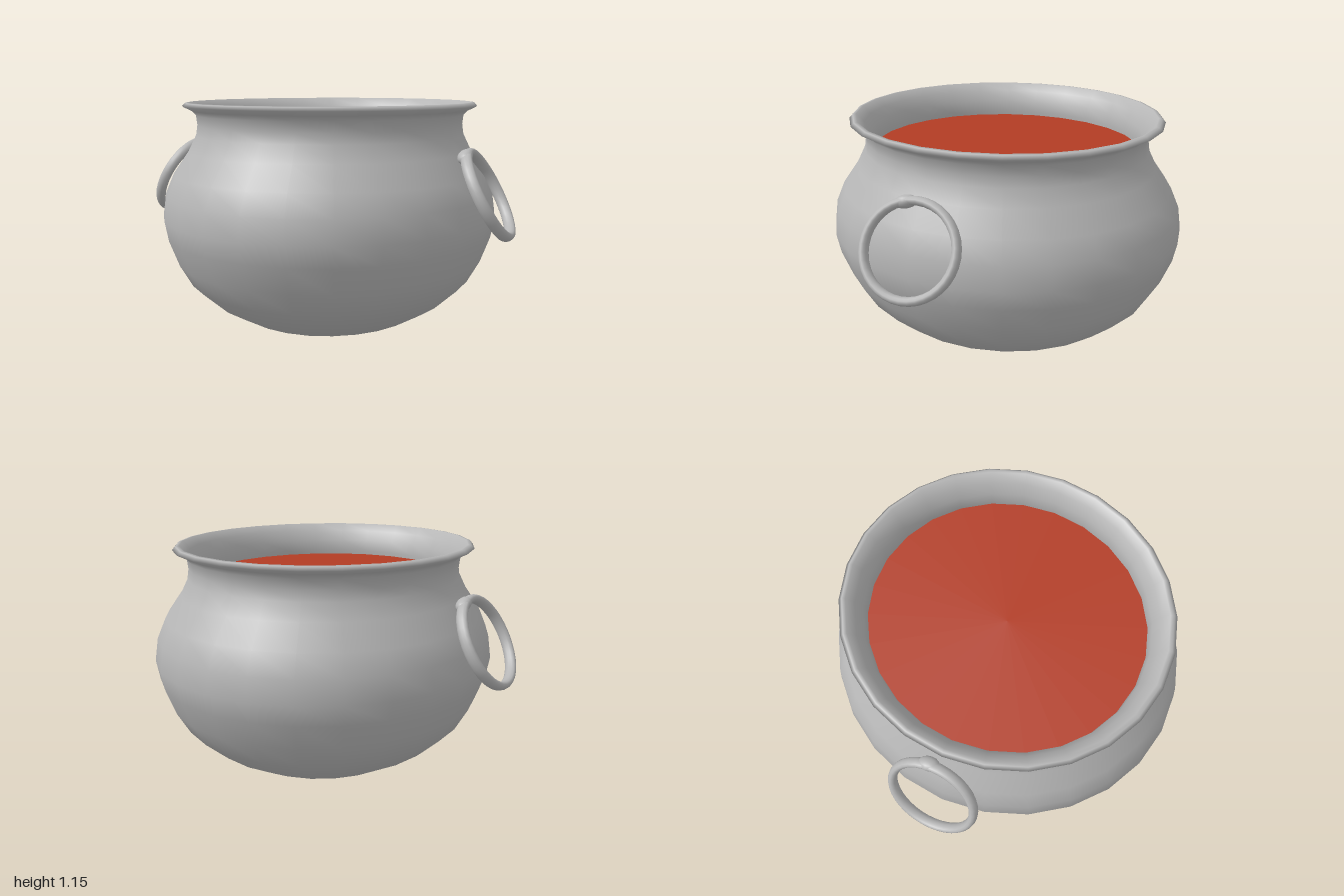
import * as THREE from 'three';

const SEGMENTS = 26;
const SQUASH = 0.94; // the pot is slightly narrower in x than in z

export function createModel() {
  const iron = new THREE.MeshStandardMaterial({ color: 0xb6b6b6 });
  iron.name = 'grey iron';
  const soup = new THREE.MeshStandardMaterial({ color: 0xb23c24 });
  soup.name = 'red liquid';

  const model = new THREE.Group();
  model.name = 'cauldron';

  function add(parent, name, geometry, material) {
    const mesh = new THREE.Mesh(geometry, material);
    mesh.name = name;
    parent.add(mesh);
    return mesh;
  }

  // Pot: belly, neck, flared rim and inner wall in one profile
  const pot = new THREE.Group();
  pot.name = 'pot';
  pot.position.x = 0.006;
  pot.scale.x = SQUASH;
  model.add(pot);
  const profile = [
    [0.35, 0], [0.5, 0.055], [0.65, 0.14], [0.775, 0.25], [0.84, 0.36],
    [0.89, 0.49], [0.908, 0.585], [0.89, 0.7], [0.845, 0.8], [0.765, 0.91],
    [0.724, 0.99], [0.716, 1.04], [0.722, 1.09], [0.745, 1.113], [0.792, 1.135],
    [0.775, 1.152], [0.757, 1.154], [0.72, 1.115], [0.69, 1.06], [0.68, 1.0], [0.69, 0.94],
  ].map(([r, y]) => new THREE.Vector2(r, y));
  add(pot, 'body', new THREE.LatheGeometry(profile, SEGMENTS), iron);

  // Flat underside
  const base = new THREE.CircleGeometry(0.35, SEGMENTS);
  base.rotateZ(Math.PI / 2).rotateX(Math.PI / 2);
  add(pot, 'base', base, iron);

  // Liquid surface inside the neck
  const surface = new THREE.CircleGeometry(0.685, SEGMENTS);
  surface.rotateZ(Math.PI / 2).rotateX(-Math.PI / 2);
  add(pot, 'liquid', surface, soup).position.y = 0.98;

  // Tilted ring handles, the right one turned half around
  for (const [side, name, yaw] of [[1, 'leftHandle', 0.07], [-1, 'rightHandle', 0.04]]) {
    const handle = new THREE.Group();
    handle.name = name;
    handle.position.set(side * 0.863, 0.735, 0.083);
    handle.rotation.y = (side > 0 ? 0 : Math.PI) + yaw;
    model.add(handle);

    const tilt = new THREE.Group();
    tilt.name = name + 'Tilt';
    tilt.rotation.z = 0.49;
    handle.add(tilt);

    const ring = new THREE.TorusGeometry(0.217, 0.021, 12, 36);
    ring.scale(1, 1, 1.35).rotateY(Math.PI / 2);
    add(tilt, 'ring', ring, iron);

    // Swollen joint where the ring meets the pot
    const joint = new THREE.SphereGeometry(1, 14, 10);
    joint.scale(0.038, 0.03, 0.055).rotateX(0.27);
    add(tilt, 'joint', joint, iron).position.set(-0.008, 0.208, 0.058);
  }

  return model;
}
